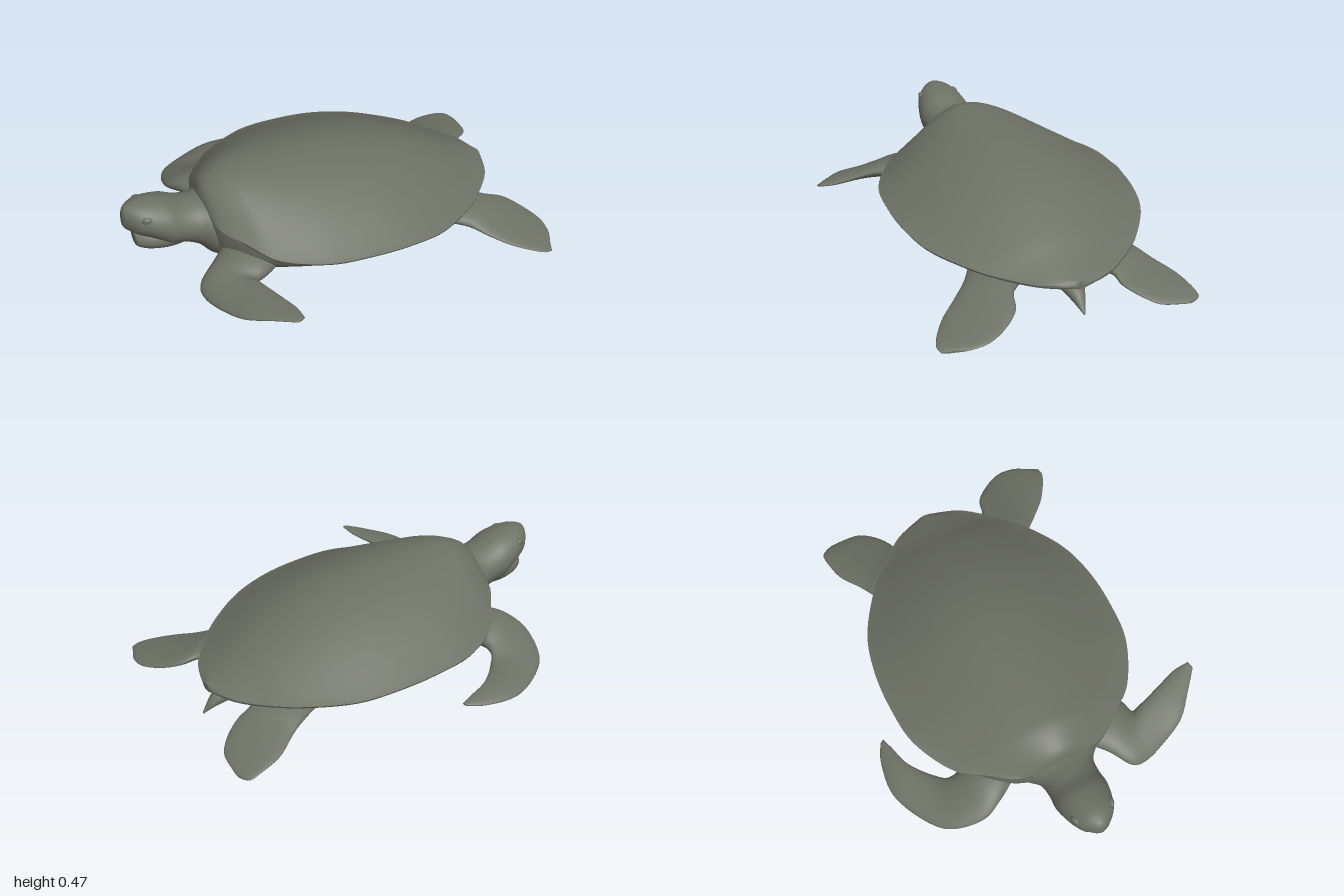
import * as THREE from 'three';
import { toCreasedNormals } from 'three/addons/utils/BufferGeometryUtils.js';

const skin = new THREE.MeshStandardMaterial({ color: 0x6e7165 });
skin.name = 'olive grey';

// Smoothly interpolate a row of section values at u in 0..1
function sample(rows, u) {
  const f = u * (rows.length - 1);
  const i = Math.min(Math.floor(f), rows.length - 2);
  const t = f - i;
  const at = k => rows[Math.max(0, Math.min(rows.length - 1, k))];
  return rows[0].map((_, c) => {
    const [p0, p1, p2, p3] = [at(i - 1)[c], at(i)[c], at(i + 1)[c], at(i + 2)[c]];
    const m1 = (p2 - p0) / 2, m2 = (p3 - p1) / 2;
    return p1 + t * (m1 + t * (3 * (p2 - p1) - 2 * m1 - m2 + t * (2 * (p1 - p2) + m1 + m2)));
  });
}

// Closed loft: ring(section, angle) gives a point on each cross-section
function loft(rows, ring, sides = 40, perRow = 6) {
  const n = (rows.length - 1) * perRow;
  const pos = [], idx = [];
  for (let j = 0; j <= n; j++) {
    const s = sample(rows, j / n);
    for (let k = 0; k < sides; k++) pos.push(...ring(s, (k / sides) * Math.PI * 2));
  }
  const id = (j, k) => j * sides + (k % sides);
  for (let j = 0; j < n; j++)
    for (let k = 0; k < sides; k++)
      idx.push(id(j, k), id(j + 1, k), id(j, k + 1), id(j, k + 1), id(j + 1, k), id(j + 1, k + 1));
  for (const j of [0, n]) {
    const c = pos.length / 3, mid = [0, 0, 0];
    for (let k = 0; k < sides; k++)
      for (let a = 0; a < 3; a++) mid[a] += pos[id(j, k) * 3 + a] / sides;
    pos.push(...mid);
    for (let k = 0; k < sides; k++)
      idx.push(c, ...(j === 0 ? [id(j, k), id(j, k + 1)] : [id(j, k + 1), id(j, k)]));
  }
  // Turn the faces outward when the enclosed volume is negative
  const v = i => new THREE.Vector3().fromArray(pos, i * 3);
  let volume = 0;
  for (let i = 0; i < idx.length; i += 3) volume += v(idx[i]).dot(v(idx[i + 1]).cross(v(idx[i + 2])));
  if (volume < 0) idx.reverse();
  const geo = new THREE.BufferGeometry();
  geo.setAttribute('position', new THREE.Float32BufferAttribute(pos, 3));
  geo.setIndex(idx);
  geo.computeVertexNormals();
  return geo;
}

// Oval section: x, half width, top, bottom, z centre
const oval = ([x, w, top, bottom, z], a) =>
  [x, (top + bottom) / 2 + (top - bottom) / 2 * Math.sin(a), z + w * Math.cos(a)];

// Shell section: x, half width, top, rim height
function shellRing([x, w, top, rim], a) {
  const c = Math.cos(a), s = Math.sin(a);
  const y = s >= 0
    ? rim + (top - rim) * Math.pow(Math.max(0, Math.cos(c * Math.PI / 2)), 1.1)
    : rim - 0.025 * Math.sqrt(-s);
  return [x, y, -0.025 + w * c];
}

// Body section: x, half width, top, bottom; flat across the belly
function bodyRing([x, w, top, bottom], a) {
  const s = Math.sin(a);
  const y = s >= 0 ? top + 0.02 * s : top - (top - bottom) * Math.pow(-s, 0.75);
  return [x, y, -0.025 + w * Math.cos(a)];
}

// Flipper section: leading edge xyz, trailing edge xyz, half thickness
function flipperRing([ax, ay, az, bx, by, bz, t], a) {
  const A = new THREE.Vector3(ax, ay, az), B = new THREE.Vector3(bx, by, bz);
  const half = B.clone().sub(A).multiplyScalar(0.5);
  const dir = half.clone().normalize();
  const up = new THREE.Vector3(0, 1, 0).addScaledVector(dir, -dir.y).normalize();
  return A.add(half).addScaledVector(half, -Math.cos(a)).addScaledVector(up, t * Math.sin(a)).toArray();
}

const flippers = {
  rightFrontFlipper: [
    [-0.54, 0.17, -0.22, -0.36, 0.15, -0.38, 0.07],
    [-0.62, 0.17, -0.34, -0.40, 0.14, -0.46, 0.06],
    [-0.665, 0.13, -0.46, -0.40, 0.12, -0.52, 0.045],
    [-0.62, 0.08, -0.62, -0.36, 0.10, -0.565, 0.033],
    [-0.50, 0.06, -0.72, -0.30, 0.10, -0.62, 0.025],
    [-0.34, 0.06, -0.785, -0.23, 0.10, -0.665, 0.018],
    [-0.18, 0.07, -0.77, -0.14, 0.09, -0.69, 0.012],
    [-0.09, 0.08, -0.73, -0.08, 0.085, -0.71, 0.005],
  ],
  leftFrontFlipper: [
    [-0.52, 0.18, 0.10, -0.36, 0.15, 0.34, 0.07],
    [-0.64, 0.16, 0.22, -0.45, 0.15, 0.40, 0.06],
    [-0.74, 0.11, 0.30, -0.51, 0.15, 0.42, 0.05],
    [-0.75, 0.09, 0.38, -0.51, 0.165, 0.45, 0.04],
    [-0.71, 0.10, 0.50, -0.49, 0.175, 0.52, 0.03],
    [-0.65, 0.13, 0.62, -0.455, 0.18, 0.62, 0.022],
    [-0.55, 0.16, 0.71, -0.43, 0.185, 0.70, 0.014],
    [-0.46, 0.18, 0.785, -0.425, 0.19, 0.775, 0.005],
  ],
  rightHindFlipper: [
    [0.45, 0.13, -0.36, 0.64, 0.13, -0.12, 0.05],
    [0.60, 0.12, -0.43, 0.76, 0.125, -0.22, 0.04],
    [0.69, 0.10, -0.475, 0.84, 0.10, -0.24, 0.028],
    [0.80, 0.07, -0.54, 0.92, 0.075, -0.29, 0.02],
    [0.91, 0.05, -0.565, 0.98, 0.05, -0.36, 0.014],
    [0.965, 0.035, -0.565, 0.995, 0.037, -0.45, 0.009],
    [0.985, 0.03, -0.54, 0.998, 0.03, -0.50, 0.004],
  ],
  leftHindFlipper: [
    [0.42, 0.13, 0.32, 0.60, 0.13, 0.08, 0.05],
    [0.57, 0.11, 0.41, 0.74, 0.125, 0.235, 0.04],
    [0.65, 0.08, 0.49, 0.85, 0.10, 0.275, 0.028],
    [0.73, 0.055, 0.57, 0.92, 0.07, 0.345, 0.02],
    [0.82, 0.035, 0.63, 0.97, 0.045, 0.44, 0.014],
    [0.88, 0.022, 0.655, 0.97, 0.03, 0.53, 0.009],
    [0.92, 0.014, 0.65, 0.94, 0.016, 0.60, 0.004],
  ],
};

export function createModel() {
  const turtle = new THREE.Group();
  turtle.name = 'seaTurtle';
  const add = (name, geo) => {
    const mesh = new THREE.Mesh(geo, skin);
    mesh.name = name;
    turtle.add(mesh);
    return mesh;
  };

  // Domed upper shell with a crisp rim
  add('shell', toCreasedNormals(loft([
    [-0.63, 0.05, 0.36, 0.33], [-0.6, 0.2, 0.425, 0.31], [-0.5, 0.36, 0.472, 0.275],
    [-0.4, 0.475, 0.48, 0.245], [-0.2, 0.575, 0.476, 0.24], [0, 0.597, 0.465, 0.235],
    [0.2, 0.587, 0.44, 0.225], [0.4, 0.535, 0.388, 0.205], [0.6, 0.41, 0.305, 0.188],
    [0.72, 0.295, 0.243, 0.176], [0.82, 0.17, 0.198, 0.17], [0.87, 0.03, 0.18, 0.168],
  ], shellRing, 64), 0.9));

  // Belly and flanks below the rim
  add('belly', loft([
    [-0.62, 0.14, 0.3, 0.12], [-0.57, 0.27, 0.29, 0.06], [-0.4, 0.42, 0.25, 0.04],
    [0, 0.54, 0.235, 0.038], [0.4, 0.46, 0.2, 0.045], [0.6, 0.33, 0.18, 0.065],
    [0.8, 0.12, 0.165, 0.11],
  ], bodyRing, 48));

  // Head and neck, widening into the shoulders
  add('headAndNeck', loft([
    [-1, 0.018, 0.375, 0.305], [-0.985, 0.045, 0.405, 0.285], [-0.94, 0.09, 0.42, 0.255],
    [-0.88, 0.117, 0.42, 0.225], [-0.8, 0.134, 0.408, 0.17], [-0.73, 0.13, 0.378, 0.155],
    [-0.66, 0.14, 0.365, 0.12], [-0.6, 0.19, 0.36, 0.065], [-0.5, 0.26, 0.34, 0.05],
  ].map(r => [...r, -0.015]), oval));

  // Lower jaw, set back under the beak
  add('lowerJaw', loft([
    [-0.955, 0.025, 0.25, 0.205], [-0.945, 0.055, 0.26, 0.18], [-0.89, 0.088, 0.28, 0.16],
    [-0.8, 0.105, 0.29, 0.15], [-0.7, 0.08, 0.26, 0.15],
  ].map(r => [...r, -0.015]), oval));

  // Low eye bulges
  for (const side of [-1, 1]) {
    const eye = add(side > 0 ? 'leftEye' : 'rightEye', new THREE.SphereGeometry(0.022, 20, 14));
    eye.scale.set(1.1, 0.8, 0.6);
    eye.position.set(-0.905, 0.368, -0.015 + side * 0.094);
    eye.rotation.y = side * -0.3;
  }

  // Short pointed tail, drooping behind the shell
  add('tail', loft([
    [0.66, 0.09, 0.17, 0.07], [0.76, 0.06, 0.15, 0.07], [0.84, 0.032, 0.11, 0.05],
    [0.9, 0.004, 0.035, 0.025],
  ].map(r => [...r, -0.03]), oval, 20));

  for (const [name, rows] of Object.entries(flippers)) add(name, loft(rows, flipperRing, 28));

  return turtle;
}
